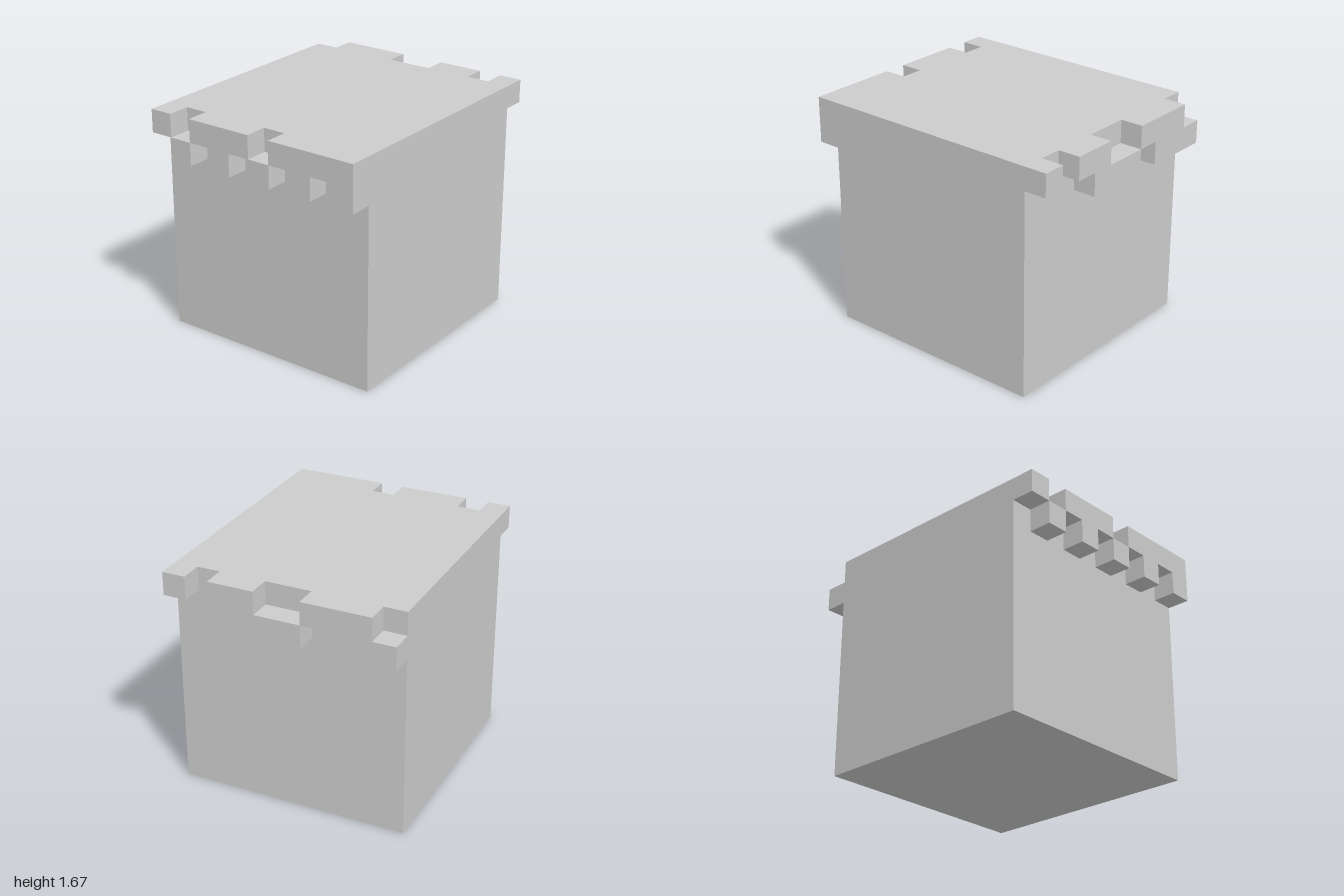
import * as THREE from 'three';

const CELL = 1 / 6; // edge of one block; the body is 10 blocks wide, high and deep
const SIZE = 10 * CELL;

// Overhang rows from front (+z) to back (-z): '#' is a block, '.' a gap
const OVERHANGS = [
  { name: 'leftOverhang', side: 1, rows: ['#.##..###.', '...###.###'] },
  { name: 'rightOverhang', side: -1, rows: ['####.###.#', '#.#.#.#.#.'] },
];

export function createModel() {
  const model = new THREE.Group();
  const material = new THREE.MeshStandardMaterial({ color: 0xcccccc, flatShading: true });

  const addBox = (parent, name, w, h, d, x, y, z) => {
    const mesh = new THREE.Mesh(new THREE.BoxGeometry(w, h, d), material);
    mesh.name = name;
    mesh.position.set(x, y, z);
    parent.add(mesh);
  };

  // Main cube
  addBox(model, 'body', SIZE, SIZE, SIZE, 0, SIZE / 2, 0);

  // Ragged edges hanging over both sides, one box per unbroken run of blocks
  for (const { name, side, rows } of OVERHANGS) {
    const overhang = new THREE.Group();
    overhang.name = name;
    rows.forEach((row, level) => {
      for (const run of row.matchAll(/#+/g)) {
        const length = run[0].length;
        addBox(
          overhang, level === 0 ? 'upperBlock' : 'lowerBlock',
          CELL, CELL, length * CELL,
          side * (SIZE + CELL) / 2,
          SIZE - (level + 0.5) * CELL,
          SIZE / 2 - (run.index + length / 2) * CELL,
        );
      }
    });
    model.add(overhang);
  }
  return model;
}
